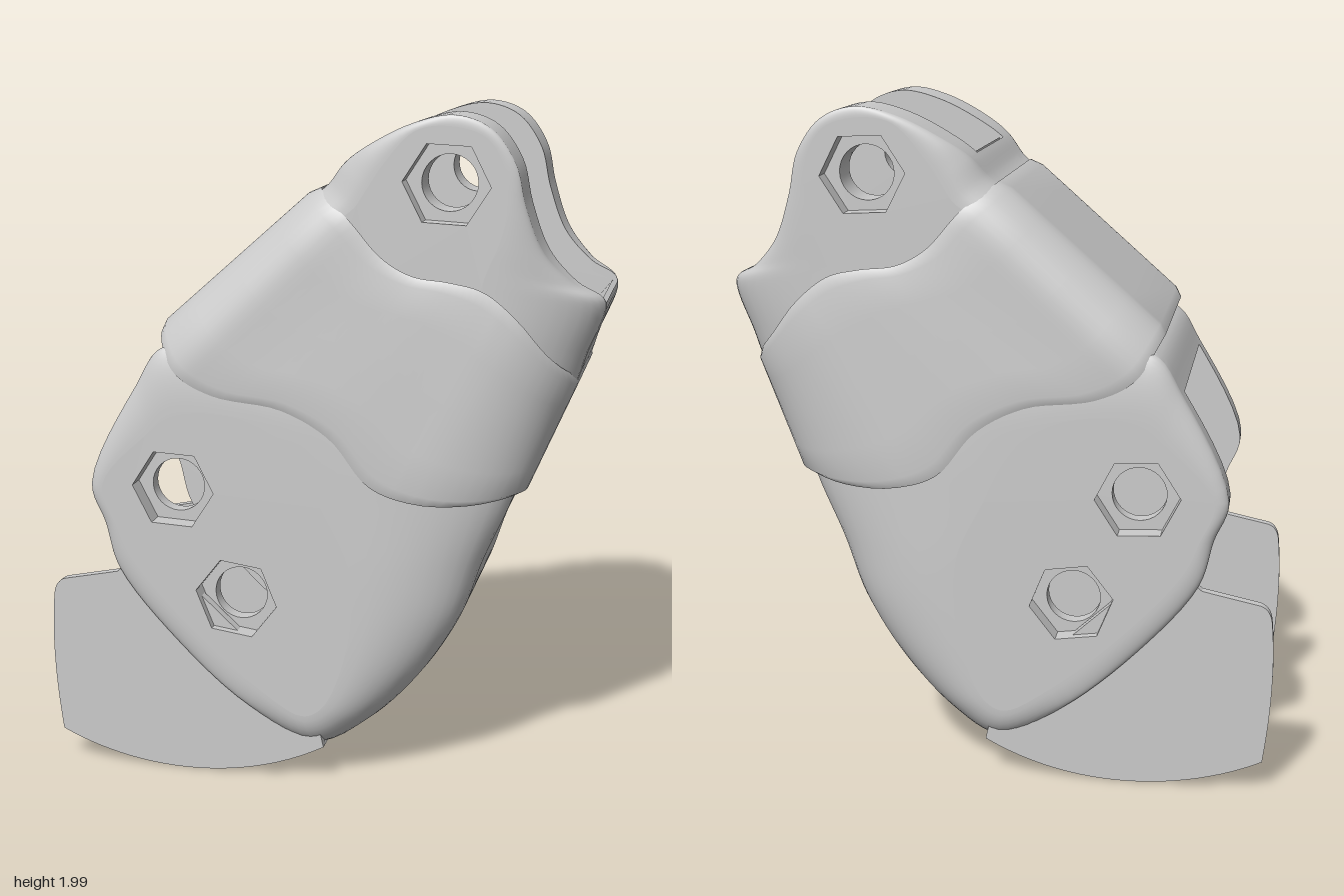
import * as THREE from 'three';

const material = new THREE.MeshStandardMaterial({ color: 0xcccccc, side: THREE.DoubleSide });
const V = (x, y, z = 0) => new THREE.Vector3(x, y, z);
const lerp = THREE.MathUtils.lerp;

function add(parent, name, geometry) {
  const mesh = new THREE.Mesh(geometry, material);
  mesh.name = name;
  parent.add(mesh);
  return mesh;
}

// Smooth surface through rows of points; wrap joins the end of each row to its start
function surface(rows, wrap = false) {
  const n = rows[0].length, index = [];
  for (let r = 0; r < rows.length - 1; r++) {
    for (let i = 0; i < (wrap ? n : n - 1); i++) {
      const a = r * n + i, b = r * n + (i + 1) % n;
      index.push(a, b, a + n, b, b + n, a + n);
    }
  }
  const g = new THREE.BufferGeometry().setFromPoints(rows.flat());
  g.setIndex(index);
  g.computeVertexNormals();
  return g;
}

function circlePath(x, y, r, sides, turn = 0) {
  const pts = [];
  for (let i = 0; i < sides; i++) {
    const a = turn + (i / sides) * Math.PI * 2;
    pts.push(new THREE.Vector2(x + r * Math.cos(a), y + r * Math.sin(a)));
  }
  return pts;
}

function plate(points, holes, z) {
  const shape = new THREE.Shape(points.map(p => new THREE.Vector2(p.x, p.y)));
  holes.forEach(h => shape.holes.push(new THREE.Path(h)));
  return new THREE.ShapeGeometry(shape).translate(0, 0, z);
}

// Bolt seat: hexagonal pocket, its floor, and the round bore
function boltSeat(parent, [x, y, turn], zFace, zInner) {
  const hex = circlePath(x, y, 0.125, 6, turn), bore = circlePath(x, y, 0.08, 32);
  const floor = zFace - 0.06;
  const wall = (pts, z0, z1) => surface([pts.map(p => V(p.x, p.y, z0)), pts.map(p => V(p.x, p.y, z1))], true);
  const pocket = wall(hex, floor, zFace).toNonIndexed();
  pocket.computeVertexNormals();
  add(parent, 'hexPocket', pocket);
  add(parent, 'pocketFloor', plate(hex, [bore], floor));
  add(parent, 'boltBore', wall(bore, zInner, floor));
}

// One cheek: rounded skin from an outline [x, y, edge z, flat x, flat y] up to a flat face,
// with an inner wall, bolt seats, and bridges across to the other cheek
function cheek(group, name, table, zFace, zInner, bolts, bridges) {
  const n = table.length, sub = 6, N = n * sub;
  const outerCurve = new THREE.CatmullRomCurve3(table.map(p => V(p[0], p[1], p[2])), true);
  const flatCurve = new THREE.CatmullRomCurve3(table.map(p => V(p[3], p[4])), true);
  const outer = [], flat = [];
  for (let i = 0; i < N; i++) {
    outer.push(outerCurve.getPoint(i / N));
    flat.push(flatCurve.getPoint(i / N));
  }
  const rows = [];
  for (let k = 0; k <= 10; k++) {
    const a = (k / 10) * Math.PI / 2, f = 1 - Math.cos(a);
    rows.push(outer.map((p, i) => V(lerp(p.x, flat[i].x, f), lerp(p.y, flat[i].y, f), lerp(p.z, zFace, Math.sin(a)))));
  }
  const inner = outer.map((p, i) => {
    const f = p.z < zInner - 0.02 ? 0.5 : 0;
    return V(lerp(p.x, flat[i].x, f), lerp(p.y, flat[i].y, f), zInner);
  });
  for (const side of [1, -1]) {
    const half = new THREE.Group();
    half.name = (side > 0 ? 'left' : 'right') + name;
    half.scale.z = side;
    group.add(half);
    add(half, 'roundedSkin', surface(rows, true));
    add(half, 'flatFace', plate(flat, bolts.map(b => circlePath(b[0], b[1], 0.125, 6, b[2])), zFace));
    add(half, 'innerFace', plate(inner, bolts.map(b => circlePath(b[0], b[1], 0.08, 32)), zInner));
    add(half, 'edgeWall', surface([outer, inner], true));
    bolts.forEach(b => boltSeat(half, b, zFace, zInner));
  }
  for (const [from, to] of bridges) {
    const span = [];
    for (let i = from * sub; i <= to * sub; i++) span.push(outer[i % N]);
    add(group, name + 'Bridge', surface([span, span.map(p => V(p.x, p.y, -p.z))]));
  }
}

// Closed tube between two wavy borders, stepped in slightly at both ends
function sleeve() {
  const low = new THREE.CatmullRomCurve3([[-0.5, 1.36], [-0.42, 1.24], [-0.3, 1.18], [-0.1, 1.15], [0.05, 1.07],
    [0.17, 0.93], [0.3, 0.885], [0.45, 0.88], [0.6, 0.9]].map(p => V(...p)));
  const high = new THREE.CatmullRomCurve3([[0, 1.8], [0.1, 1.72], [0.2, 1.61], [0.29, 1.56], [0.4, 1.545],
    [0.5, 1.52], [0.6, 1.44], [0.68, 1.34], [0.755, 1.26]].map(p => V(...p)));
  const rows = [0, 0.07, 0.25, 0.5, 0.75, 0.93, 1].map(t => {
    const inset = t === 0 || t === 1 ? 1 : 0, zMax = lerp(0.435, 0.408, t) - inset * 0.012;
    const half = [];
    const put = (s, z) => {
      const p = low.getPoint(s).lerp(high.getPoint(s), t);
      if (inset) p.lerp(V(0.15, 1.35), 0.03);
      half.push(V(p.x, p.y, z));
    };
    for (let i = 0; i < 10; i++) {
      const a = (i / 10) * Math.PI / 2;
      put(0.15 * (1 - Math.cos(a)), lerp(0.28, zMax, Math.sin(a)));
    }
    for (let i = 0; i < 24; i++) put(lerp(0.15, 0.7, i / 24), zMax);
    for (let i = 0; i <= 12; i++) {
      const a = (i / 12) * Math.PI / 2;
      put(0.7 + 0.3 * Math.sin(a), lerp(lerp(0.27, 0.21, t), zMax, Math.cos(a)));
    }
    return [...half, ...half.slice().reverse().map(p => V(p.x, p.y, -p.z))];
  });
  return surface(rows, true);
}

export function createModel() {
  const model = new THREE.Group();
  model.name = 'hingedSegment';

  // Lower shell: two cheeks joined by the curved spine
  cheek(model, 'LowerShell', [
    [-0.45, 1.32, 0.38, -0.42, 1.12], [-0.54, 1.2, 0.38, -0.5, 1.06],
    [-0.68, 0.9, 0.4, -0.64, 0.9], [-0.64, 0.78, 0.4, -0.6, 0.78],
    [-0.6, 0.64, 0.4, -0.555, 0.68], [-0.42, 0.42, 0.4, -0.38, 0.48],
    [-0.2, 0.23, 0.4, -0.17, 0.3], [0, 0.11, 0.33, -0.03, 0.22],
    [0.15, 0.18, 0.28, 0.03, 0.25], [0.3, 0.33, 0.27, 0.09, 0.38],
    [0.42, 0.52, 0.27, 0.12, 0.55], [0.485, 0.7, 0.27, 0.11, 0.7],
    [0.57, 0.9, 0.27, 0.03, 0.87], [0.6, 1.02, 0.27, -0.03, 0.99],
    [0.2, 1.2, 0.38, -0.1, 1.07], [-0.1, 1.28, 0.38, -0.24, 1.13],
  ], 0.425, 0.32, [[-0.42, 0.9, -0.05], [-0.23, 0.575, -0.14]], [[7, 13], [0, 1]]);

  add(model, 'sleeve', sleeve());

  // Upper fork: two lugs joined by the front collar and the low back wall
  cheek(model, 'Fork', [
    [-0.05, 1.72, 0.26, 0.06, 1.68], [0.03, 1.8, 0.3, 0.12, 1.74],
    [0.08, 1.86, 0.33, 0.16, 1.8], [0.15, 1.91, 0.36, 0.2, 1.86],
    [0.28, 1.975, 0.375, 0.29, 1.955], [0.4, 2, 0.38, 0.39, 1.97],
    [0.5, 1.965, 0.38, 0.49, 1.94], [0.57, 1.87, 0.38, 0.54, 1.86],
    [0.6, 1.75, 0.37, 0.55, 1.74], [0.65, 1.62, 0.34, 0.53, 1.65],
    [0.73, 1.53, 0.28, 0.5, 1.58], [0.815, 1.47, 0.21, 0.48, 1.52],
    [0.77, 1.33, 0.21, 0.46, 1.42], [0.7, 1.18, 0.21, 0.4, 1.3],
    [0.45, 1.25, 0.34, 0.36, 1.27], [0.15, 1.5, 0.36, 0.2, 1.5],
  ], 0.39, 0.22, [[0.38, 1.81, -0.05]], [[0, 2], [11, 13]]);

  // Pocket between the lugs
  const pocket = [[0.09, 1.86], [0.1, 1.3], [0.14, 1.24], [0.56, 1.2], [0.61, 1.23], [0.8, 1.47]].map(p => V(...p));
  const lining = surface([0.215, -0.215].map(z => pocket.map(p => V(p.x, p.y, z)))).toNonIndexed();
  lining.computeVertexNormals();
  add(model, 'pocketLining', lining);
  const lowerPocket = [V(0.1, 1.6), ...pocket.slice(1), V(0.6, 1.55)];
  for (const z of [0.216, -0.216]) add(model, 'pocketSide', plate(lowerPocket, [], z));

  // Thin side fins with an inward lip along the bottom arc
  const fin = new THREE.Shape();
  fin.moveTo(-0.58, 0.65);
  fin.lineTo(-0.61, 0.625);
  fin.lineTo(-0.78, 0.59);
  fin.quadraticCurveTo(-0.81, 0.58, -0.815, 0.54);
  fin.quadraticCurveTo(-0.835, 0.35, -0.8, 0.1);
  fin.bezierCurveTo(-0.58, -0.01, -0.25, -0.04, 0.03, 0.115);
  fin.lineTo(0.0, 0.25);
  fin.lineTo(-0.4, 0.62);
  const lip = new THREE.Shape();
  lip.moveTo(-0.62, 0.035);
  lip.bezierCurveTo(-0.45, -0.005, -0.2, -0.01, 0.03, 0.115);
  lip.lineTo(0.0, 0.15);
  lip.bezierCurveTo(-0.2, 0.04, -0.42, 0.04, -0.58, 0.07);
  for (const side of [1, -1]) {
    const half = new THREE.Group();
    half.name = side > 0 ? 'leftFin' : 'rightFin';
    half.scale.z = side;
    model.add(half);
    add(half, 'finPlate', new THREE.ExtrudeGeometry(fin, { depth: 0.03, bevelEnabled: false, curveSegments: 24 }).translate(0, 0, 0.37));
    add(half, 'finLip', new THREE.ExtrudeGeometry(lip, { depth: 0.1, bevelEnabled: false, curveSegments: 24 }).translate(0, 0, 0.28));
  }
  return model;
}
